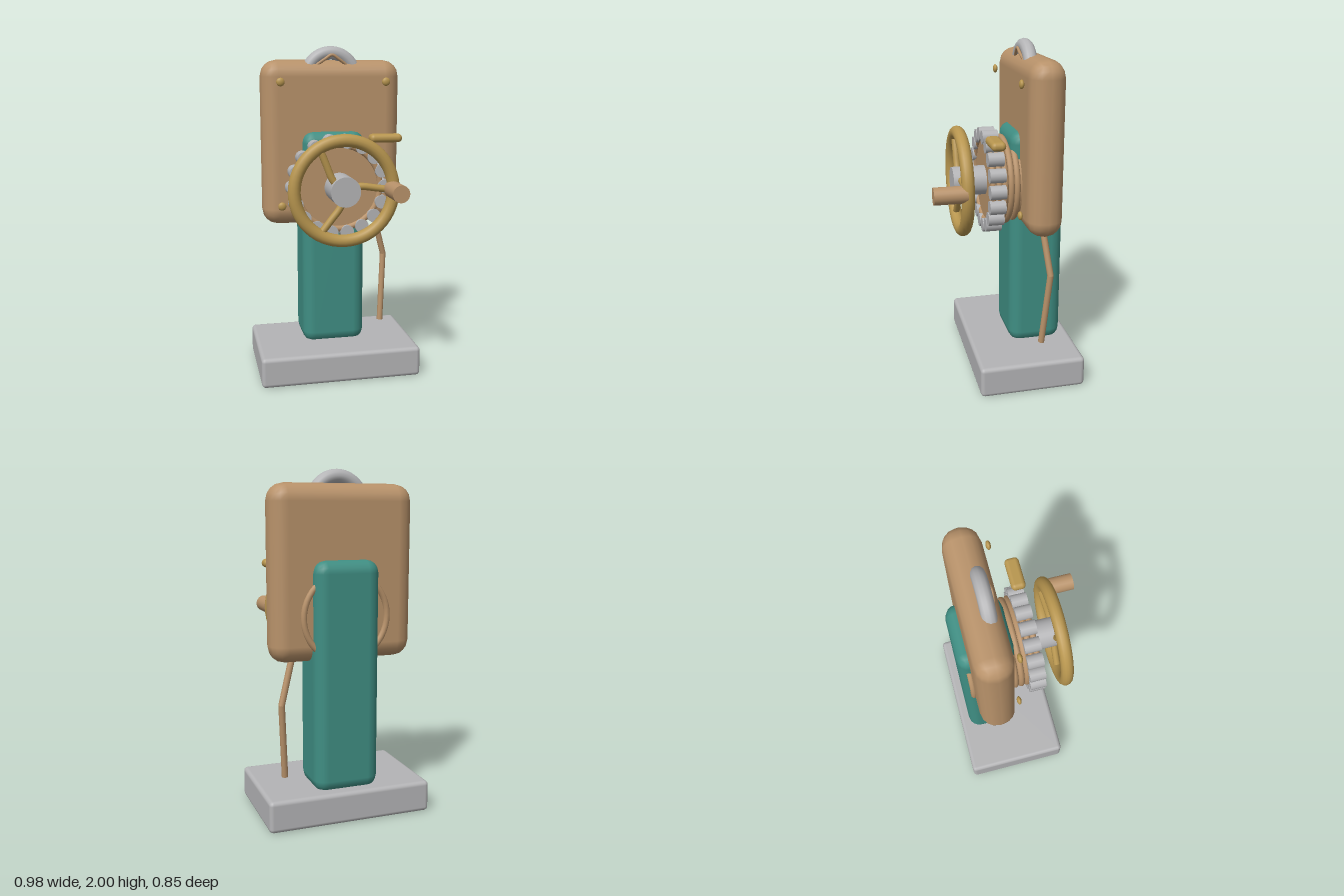
import * as THREE from 'three';
import { RoundedBoxGeometry } from 'three/addons/geometries/RoundedBoxGeometry.js';

const material = (name, color) => {
  const m = new THREE.MeshStandardMaterial({ color });
  m.name = name;
  return m;
};

export function createModel() {
  const model = new THREE.Group();
  model.name = 'crankMachine';
  const tan = material('tan', 0xb8926a);
  const silver = material('silver', 0xb4b4b6);
  const teal = material('teal', 0x3f8e83);
  const gold = material('gold', 0xb8964f);
  const axisY = 1.18; // height of the wheel's axle

  const add = (name, geometry, mat, x = 0, y = 0, z = 0, parent = model) => {
    const mesh = new THREE.Mesh(geometry, mat);
    mesh.name = name;
    mesh.position.set(x, y, z);
    parent.add(mesh);
    return mesh;
  };
  const box = (w, h, d, r, segments = 2) => new RoundedBoxGeometry(w, h, d, segments, r);
  // cylinder along z
  const rod = (r, length, sides = 32) => new THREE.CylinderGeometry(r, r, length, sides).rotateX(Math.PI / 2);
  const vec = (p) => new THREE.Vector3(...p);
  const group = (name, y = 0) => {
    const g = new THREE.Group();
    g.name = name;
    g.position.y = y;
    model.add(g);
    return g;
  };

  // Stand
  add('base', box(0.98, 0.185, 0.63, 0.025), silver, 0, 0.0925, -0.11);
  add('column', box(0.39, 1.34, 0.325, 0.075), teal, 0, 0.83, -0.2025);
  add('board', box(0.855, 1.0, 0.21, 0.1), tan, 0, 1.42, -0.195);

  // Studs near the board's corners
  for (const x of [-0.32, 0.32]) for (const y of [1.05, 1.79]) {
    add('stud', new THREE.SphereGeometry(0.025, 16, 12).scale(1, 1, 0.55), gold, x, y, -0.06);
  }

  // Carrying loop and the small bent wire under it
  add('topLoop', new THREE.TorusGeometry(0.15, 0.04, 12, 32, Math.PI), silver, 0, 1.81, -0.16);
  const bend = new THREE.CatmullRomCurve3([[-0.09, 1.89, -0.13], [-0.04, 1.925, -0.12],
    [0, 1.948, -0.118], [0.04, 1.925, -0.12], [0.09, 1.89, -0.13]].map(vec));
  add('bentWire', new THREE.TubeGeometry(bend, 20, 0.009, 8), tan);

  // Coiled drum
  const drum = group('drum', axisY);
  add('drumCore', rod(0.25, 0.17, 48), tan, 0, 0, -0.005, drum);
  for (let i = 0; i < 5; i++) {
    add('coil', new THREE.TorusGeometry(0.25, 0.018, 10, 48), tan, 0, 0, 0.078 - i * 0.035, drum);
  }
  add('rearCoil', new THREE.TorusGeometry(0.25, 0.018, 10, 48), tan, 0, 0, -0.307, drum);

  // Ring of rollers around the drum
  const rollers = group('rollers', axisY);
  const count = 18;
  for (let i = 0; i < count; i++) {
    const a = ((i + 0.5) / count) * Math.PI * 2 + Math.PI / 2;
    add('roller', rod(0.041, 0.092, 14), silver, 0.273 * Math.cos(a), 0.273 * Math.sin(a), 0.058, rollers);
  }

  // Hand wheel
  const wheel = group('handWheel', axisY);
  add('hub', rod(0.087, 0.24), silver, 0, 0, 0.155, wheel);
  add('rim', new THREE.TorusGeometry(0.29, 0.037, 14, 56), gold, 0, 0, 0.23, wheel);
  const spoke = new THREE.CatmullRomCurve3([[0.03, 0.02, 0], [0.1, 0.026, 0], [0.18, 0.015, 0], [0.285, 0, 0]].map(vec));
  for (let i = 0; i < 3; i++) {
    add('spoke', new THREE.TubeGeometry(spoke, 16, 0.021, 10), gold, 0, 0, 0.23, wheel)
      .rotation.z = (i * Math.PI * 2) / 3;
  }
  add('crankGrip', rod(0.05, 0.19, 24), tan, 0.28, 0.005, 0.33, wheel);

  // Stop peg beside the rollers
  add('peg', box(0.195, 0.05, 0.083, 0.024, 3), gold, 0.281, 1.465, 0.073);

  // Bent rod hanging from the board
  const path = new THREE.CurvePath();
  const joints = [[0.28, 0.98, -0.2], [0.362, 0.68, -0.235], [0.335, 0.24, -0.195]].map(vec);
  for (let i = 0; i < 2; i++) {
    path.add(new THREE.LineCurve3(joints[i], joints[i + 1]));
    const dir = joints[i + 1].clone().sub(joints[i]);
    const part = add('hangingRod', new THREE.CylinderGeometry(0.019, 0.019, dir.length(), 12), tan);
    part.position.copy(joints[i]).addScaledVector(dir, 0.5);
    part.quaternion.setFromUnitVectors(new THREE.Vector3(0, 1, 0), dir.normalize());
  }
  add('rodElbow', new THREE.SphereGeometry(0.019, 12, 10), tan, ...joints[1].toArray());

  return model;
}
